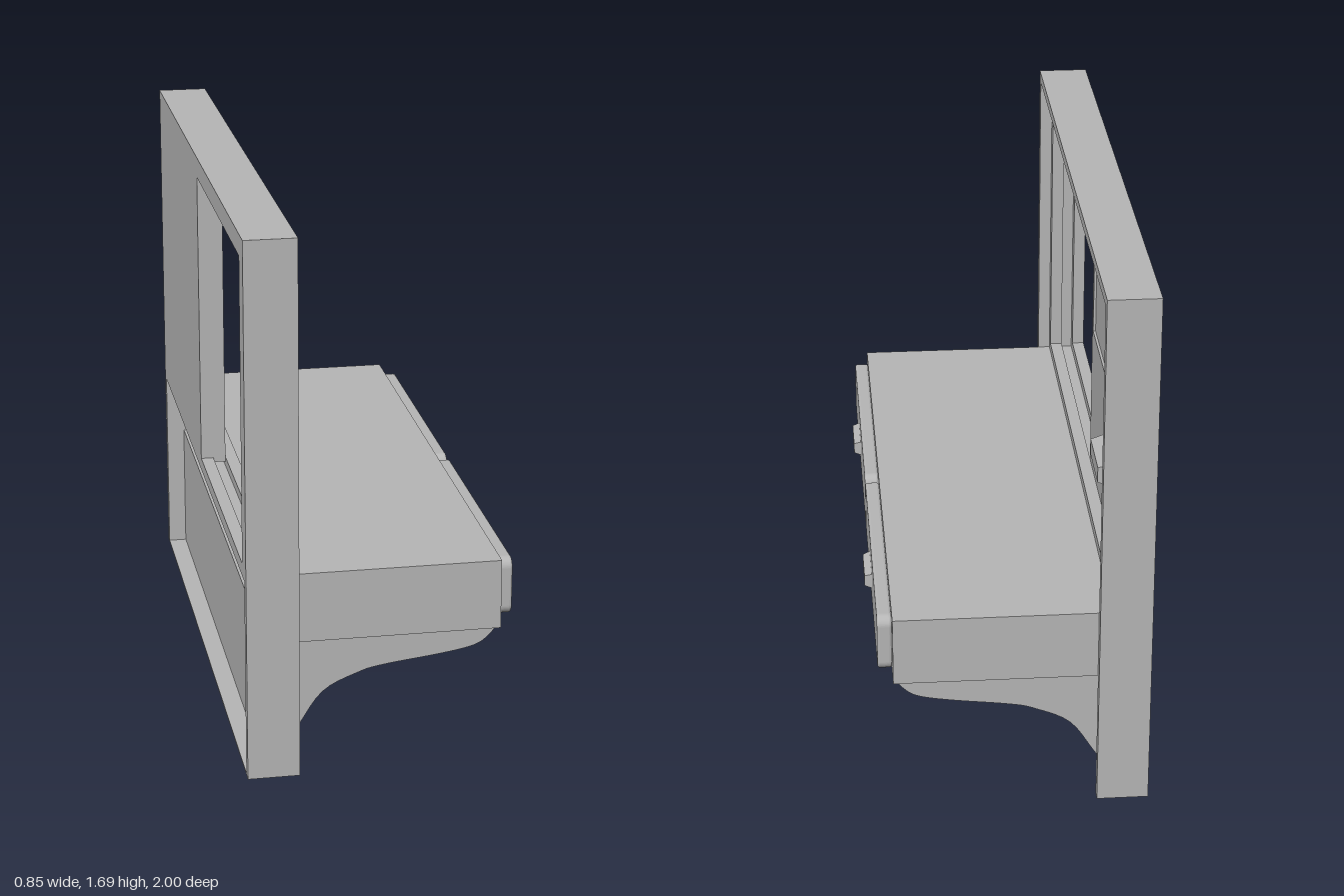
import * as THREE from 'three';

const paint = new THREE.MeshStandardMaterial({ color: 0xb6b6b6 });
paint.name = 'plain grey';

export function createModel() {
  const root = new THREE.Group();
  root.name = 'wallDesk';

  const add = (name, geometry) => {
    const mesh = new THREE.Mesh(geometry, paint);
    mesh.name = name;
    root.add(mesh);
    return mesh;
  };
  // Box given by its limits on each axis
  const box = (name, x0, x1, y0, y1, z0, z1) => {
    const g = new THREE.BoxGeometry(x1 - x0, y1 - y0, z1 - z0);
    g.translate((x0 + x1) / 2, (y0 + y1) / 2, (z0 + z1) / 2);
    return add(name, g);
  };
  const rect = (path, w, y0, y1) => {
    path.moveTo(-w, y0);
    path.lineTo(w, y0);
    path.lineTo(w, y1);
    path.lineTo(-w, y1);
    path.closePath();
    return path;
  };
  // Pull handle: a bar that narrows towards its front
  const handle = (name, x, depth, y, h, z, w) => {
    const g = new THREE.BoxGeometry(depth, h, w).toNonIndexed();
    const p = g.attributes.position;
    for (let i = 0; i < p.count; i++) {
      if (p.getX(i) > 0) p.setXYZ(i, p.getX(i), p.getY(i) * 0.7, p.getZ(i) * 0.93);
    }
    g.computeVertexNormals();
    g.translate(x + depth / 2, y, z);
    add(name, g);
  };

  // Upper frame: four layers, alternately wide and narrow, forming sliding tracks
  const layers = [[0.925, 0.675, 1.625], [0.965, 0.645, 1.658], [0.925, 0.675, 1.625], [0.965, 0.645, 1.658]];
  layers.forEach(([w, y0, y1], i) => {
    const ring = rect(new THREE.Shape(), 1, 0.635, 1.69);
    ring.holes.push(rect(new THREE.Path(), w, y0, y1));
    const g = new THREE.ExtrudeGeometry(ring, { depth: 0.04, bevelEnabled: false });
    g.rotateY(Math.PI / 2);
    g.translate(-0.43 + i * 0.04, 0, 0);
    add('frameLayer' + (i + 1), g);
  });

  // Lower part of the frame: posts, recessed board and bottom strip
  for (const s of [-1, 1]) {
    box('framePost', -0.43, -0.27, 0, 0.635, s > 0 ? 0.967 : -1, s > 0 ? 1 : -0.967);
  }
  box('lowerBoard', -0.37, -0.36, 0, 0.43, -0.967, 0.967);
  box('bottomStrip', -0.43, -0.37, 0, 0.006, -0.967, 0.967);

  // Sliding panel with a shallow recess in its upper part
  box('slidingPanel', -0.43, -0.358, 0.66, 1.64, -0.94, 0);
  box('panelLowerFace', -0.358, -0.35, 0.66, 1.15, -0.93, 0);
  box('panelEdgeStrip', -0.358, -0.35, 1.15, 1.63, -0.022, 0);
  handle('panelHandle', -0.35, 0.045, 0.913, 0.074, -0.478, 0.215);

  // Desk body, open at the back
  box('deskTop', -0.31, 0.355, 0.625, 0.645, -0.965, 0.965);
  box('deskFloor', -0.37, 0.355, 0.425, 0.435, -0.965, 0.965);
  box('deskFront', 0.335, 0.355, 0.435, 0.625, -0.965, 0.965);
  for (const s of [-1, 1]) {
    box('deskSide', -0.36, 0.335, 0.435, 0.625, s * 0.955 - 0.01, s * 0.955 + 0.01);
  }

  // Drawer fronts with rounded corners and a softened edge
  const bevel = 0.008;
  const w = 0.4575 - bevel, h = 0.0925 - bevel, r = 0.024;
  const drawer = new THREE.Shape();
  drawer.absarc(w - r, h - r, r, 0, Math.PI / 2);
  drawer.absarc(-w + r, h - r, r, Math.PI / 2, Math.PI);
  drawer.absarc(-w + r, -h + r, r, Math.PI, Math.PI * 1.5);
  drawer.absarc(w - r, -h + r, r, Math.PI * 1.5, Math.PI * 2);
  for (const s of [-1, 1]) {
    const g = new THREE.ExtrudeGeometry(drawer, {
      depth: 0.045 - 2 * bevel, bevelThickness: bevel, bevelSize: bevel, bevelSegments: 3, curveSegments: 6,
    });
    g.rotateY(Math.PI / 2);
    g.translate(0.355 + bevel, 0.5375, s * 0.464);
    add('drawerFront', g);
    handle('drawerHandle', 0.4, 0.023, 0.537, 0.05, s > 0 ? 0.483 : -0.45, 0.152);
  }

  // Curved brackets under the desk, running down to the foot of the frame
  const curve = [[-0.36, 0.005], [-0.27, 0.13], [-0.19, 0.245], [-0.08, 0.3], [0, 0.32],
    [0.18, 0.343], [0.28, 0.363], [0.325, 0.393], [0.352, 0.428]];
  const bracket = new THREE.Shape();
  bracket.moveTo(-0.36, 0.428);
  bracket.lineTo(...curve[0]);
  bracket.splineThru(curve.slice(1).map(([x, y]) => new THREE.Vector2(x, y)));
  bracket.closePath();
  for (const s of [-1, 1]) {
    const g = new THREE.ExtrudeGeometry(bracket, { depth: 0.09, bevelEnabled: false, curveSegments: 4 });
    g.translate(0, 0, s * 0.893 - 0.045);
    add('bracket', g);
  }
  return root;
}
